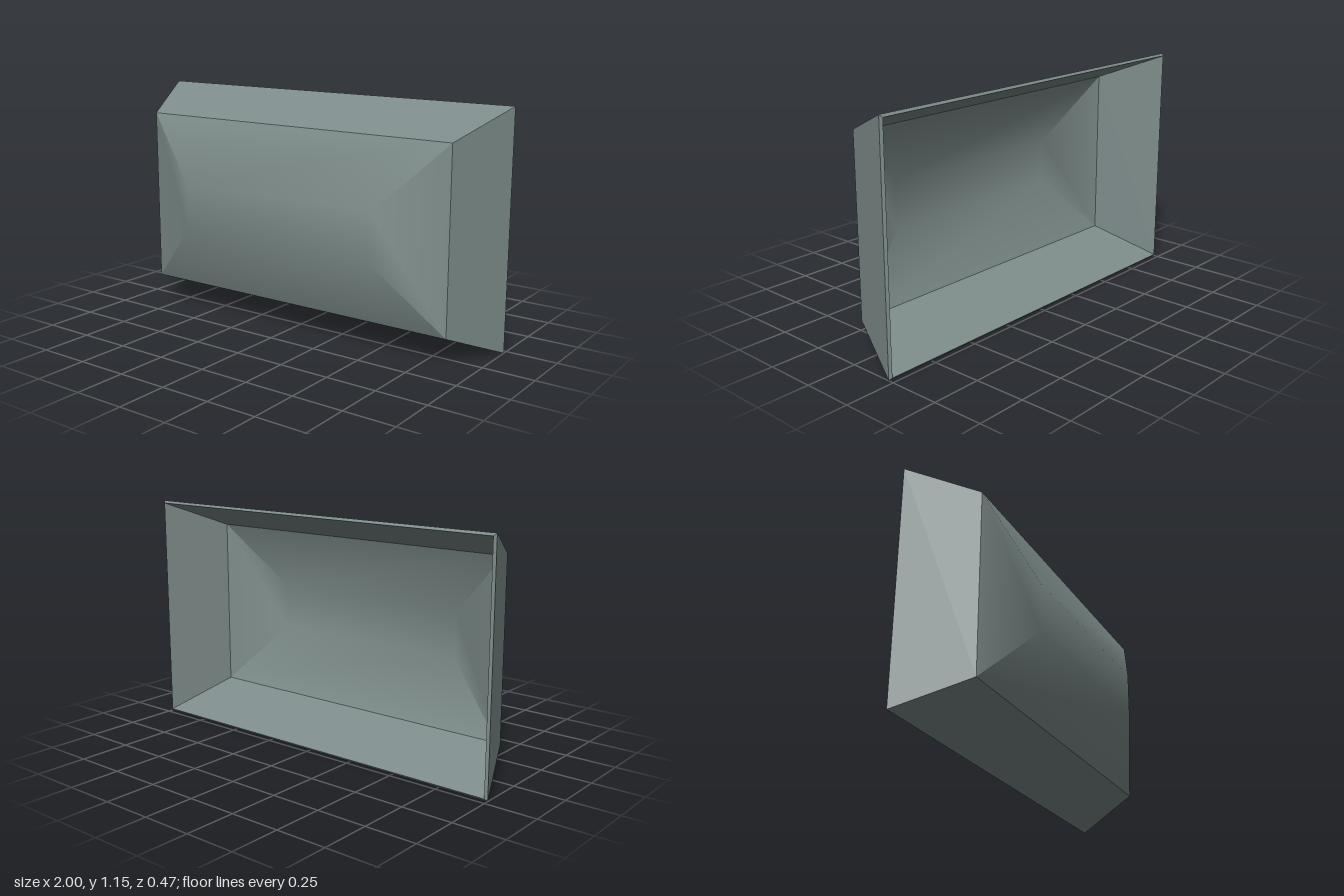
import * as THREE from 'three';

const MID_Y = 0.575;

// Four corners of a rectangle, counter-clockwise seen from the front
const ring = (halfX, halfY, z) => [[1, 1], [-1, 1], [-1, -1], [1, -1]]
  .map(([sx, sy]) => new THREE.Vector3(sx * halfX, MID_Y + sy * halfY, z));

// Quads [a, b, c, d] with flat normals, or given normals where present
function quadMesh(name, quads, material) {
  const pos = [], nor = [], index = [];
  quads.forEach(({ corners, normals = [] }, q) => {
    const flat = corners[2].clone().sub(corners[0])
      .cross(corners[3].clone().sub(corners[1])).normalize();
    corners.forEach((p, i) => {
      pos.push(...p.toArray());
      nor.push(...(normals[i] || flat).toArray());
    });
    const o = q * 4;
    index.push(o, o + 1, o + 2, o, o + 2, o + 3);
  });
  const g = new THREE.BufferGeometry();
  g.setAttribute('position', new THREE.Float32BufferAttribute(pos, 3));
  g.setAttribute('normal', new THREE.Float32BufferAttribute(nor, 3));
  g.setIndex(index);
  const mesh = new THREE.Mesh(g, material);
  mesh.name = name;
  return mesh;
}

// Four quads joining one ring to the next
const band = (from, to) => [0, 1, 2, 3].map((k) => {
  const n = (k + 1) % 4;
  return { corners: [from[k], from[n], to[n], to[k]] };
});

// Turn quads to face the other way
const flip = (quads) => quads.map(({ corners, normals }) => ({
  corners: [...corners].reverse(),
  normals: normals && [...normals].reverse().map((n) => n && n.clone().negate()),
}));

// Sloped faces and flat centre, shaded smoothly around the centre only
function dome(edge, centre) {
  const soft = [[1, 1], [-1, 1], [-1, -1], [1, -1]]
    .map(([sx, sy]) => new THREE.Vector3(sx * 0.15, sy * 0.15, 1).normalize());
  const slopes = band(edge, centre).map((q, k) => (
    { ...q, normals: [null, null, soft[(k + 1) % 4], soft[k]] }));
  return [...slopes, { corners: centre, normals: soft }];
}

export function createModel() {
  const group = new THREE.Group();
  group.name = 'hollowCover';
  const material = new THREE.MeshStandardMaterial({ color: 0x7d8c8a });

  // Outer skin: open back, shoulder, front plate
  const back = ring(1, 0.574, -0.223);
  const shoulder = ring(0.866, 0.44, 0.1);
  const front = ring(0.54, 0.115, 0.233);

  // Inner skin, slightly smaller
  const backIn = ring(0.988, 0.562, -0.233);
  const shoulderIn = ring(0.856, 0.43, 0.087);
  const frontIn = ring(0.538, 0.113, 0.215);

  group.add(
    quadMesh('outerWalls', band(back, shoulder), material),
    quadMesh('outerFront', dome(shoulder, front), material),
    quadMesh('innerWalls', flip(band(backIn, shoulderIn)), material),
    quadMesh('innerFront', flip(dome(shoulderIn, frontIn)), material),
    quadMesh('rim', band(backIn, back), material),
  );
  return group;
}
